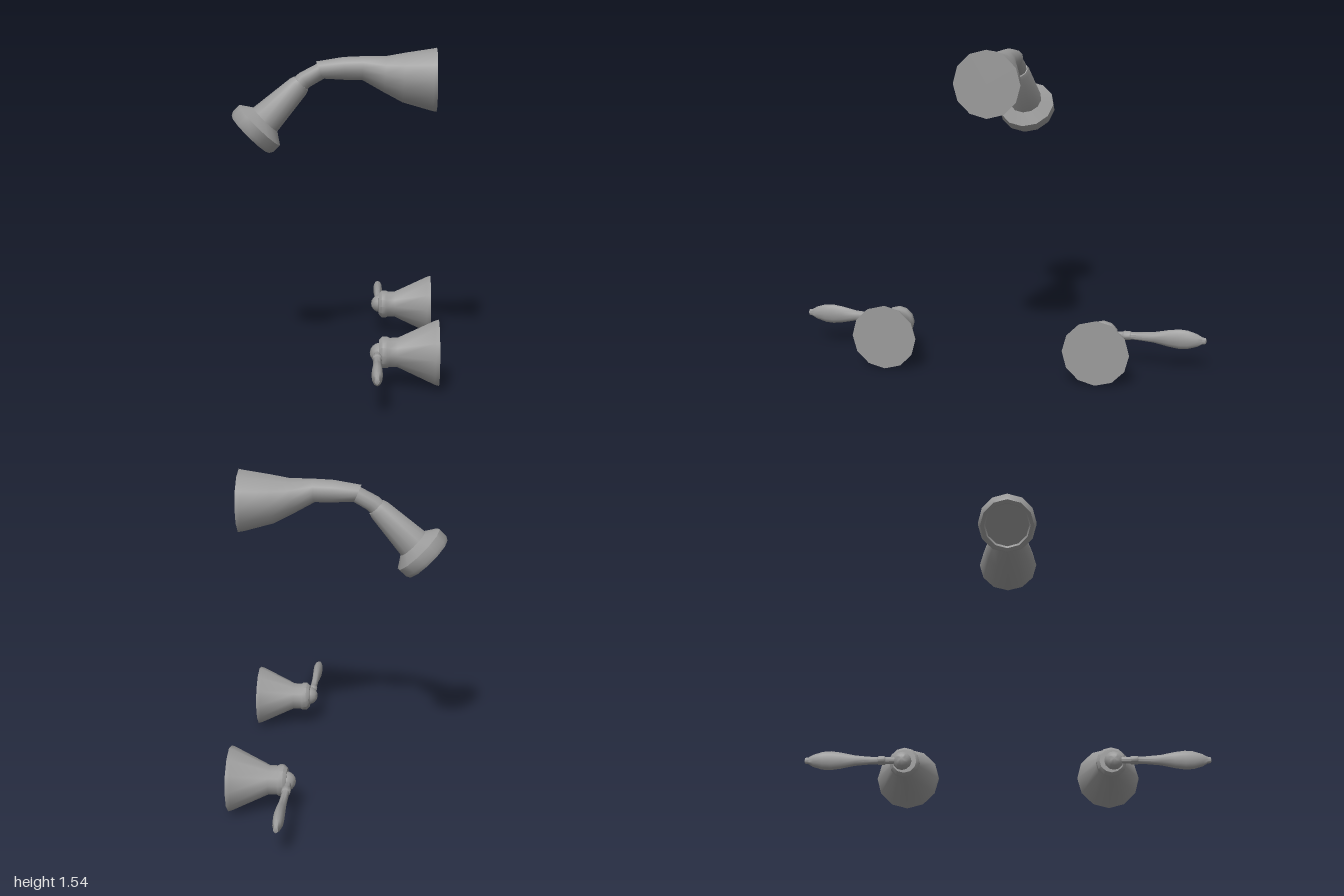
import * as THREE from 'three';
import { toCreasedNormals } from 'three/addons/utils/BufferGeometryUtils.js';

const SIDES = 12;
const CREASE = 0.75;
const material = new THREE.MeshStandardMaterial({ color: 0x9a9a9a });

function part(name, geometry) {
  const mesh = new THREE.Mesh(toCreasedNormals(geometry, CREASE), material);
  mesh.name = name;
  return mesh;
}

// Turned shape from [radius, height] pairs, listed from bottom to top
function turned(profile) {
  return new THREE.LatheGeometry(profile.map(([r, h]) => new THREE.Vector2(r, h)), SIDES);
}

// Capped tube through rings [x, y, radius, tilt in degrees] in the xy plane
function ringTube(rings) {
  const pos = [], index = [];
  const first = rings[0], last = rings[rings.length - 1];
  const all = [[first[0], first[1], 0, 0], ...rings, [last[0], last[1], 0, 0]];
  all.forEach(([x, y, r, tilt], i) => {
    const a = THREE.MathUtils.degToRad(tilt);
    for (let j = 0; j < SIDES; j++) {
      const t = (j / SIDES) * Math.PI * 2;
      const up = r * Math.cos(t);
      pos.push(x - up * Math.sin(a), y + up * Math.cos(a), r * Math.sin(t));
      if (i === all.length - 1) continue;
      const p = i * SIDES + j, q = i * SIDES + ((j + 1) % SIDES);
      index.push(p, q, p + SIDES, q, q + SIDES, p + SIDES);
    }
  });
  const geometry = new THREE.BufferGeometry();
  geometry.setAttribute('position', new THREE.Float32BufferAttribute(pos, 3));
  geometry.setIndex(index);
  geometry.computeVertexNormals();
  return geometry;
}

function createShower() {
  const shower = new THREE.Group();
  shower.name = 'shower';

  // Flared arm, widest at the wall
  shower.add(part('showerArm', ringTube([
    [-0.07, 1.436, 0.046, 24], [0.05, 1.444, 0.056, 6], [0.14, 1.446, 0.058, -4],
    [0.25, 1.416, 0.089, -4], [0.34, 1.4, 0.121, -3], [0.48, 1.389, 0.152, 0],
    [0.5, 1.389, 0.156, 0],
  ])));

  // Narrow joint between arm and head
  shower.add(part('neck', ringTube([
    [-0.19, 1.345, 0.043, 45], [-0.145, 1.388, 0.043, 40], [-0.05, 1.44, 0.04, 26],
  ])));

  // Conical head ending in a rimmed disc, aimed diagonally down
  const head = part('showerHead', turned([
    [0, 0], [0.048, 0], [0.055, 0.02], [0.083, 0.25], [0.141, 0.29],
    [0.141, 0.335], [0.13, 0.355], [0.112, 0.355], [0.106, 0.343], [0, 0.343],
  ]));
  head.position.set(-0.162, 1.371, 0);
  head.rotation.z = Math.PI * 0.75;
  shower.add(head);
  return shower;
}

function createTap(side) {
  const tap = new THREE.Group();
  tap.name = side > 0 ? 'frontTap' : 'backTap';
  tap.position.set(0.5, 0.157, side * 0.51);

  // Bell-shaped wall mount with soft collar
  const bell = part('tapBell', turned([
    [0, 0], [0.157, 0], [0.151, 0.02], [0.07, 0.19], [0.069, 0.228],
    [0.075, 0.238], [0.075, 0.26], [0.06, 0.276], [0, 0.278],
  ]));
  bell.rotation.z = Math.PI / 2;
  tap.add(bell);

  // Rounded hub holding the lever
  const hub = part('tapHub', new THREE.SphereGeometry(0.048, SIDES, 8));
  hub.rotation.z = Math.PI / 2;
  hub.position.set(-0.27, 0, side * 0.01);
  tap.add(hub);

  // Lever: collar and stem, swelling into a flattened grip
  const lever = turned([
    [0, 0.02], [0.016, 0.02], [0.017, 0.09], [0.022, 0.096], [0.022, 0.125], [0.018, 0.13],
    [0.019, 0.16], [0.027, 0.24], [0.042, 0.31], [0.049, 0.36], [0.046, 0.4],
    [0.032, 0.445], [0.018, 0.468], [0.015, 0.485], [0, 0.49],
  ]);
  const p = lever.attributes.position;
  for (let i = 0; i < p.count; i++) {
    const t = THREE.MathUtils.clamp((p.getY(i) - 0.15) / 0.4, 0, 1);
    p.setX(i, p.getX(i) * (1 - 0.5 * Math.sin(Math.PI * t)));
  }
  const handle = part('tapHandle', lever);
  handle.position.x = -0.283;
  handle.rotation.x = side * Math.PI / 2;
  tap.add(handle);
  return tap;
}

export function createModel() {
  const model = new THREE.Group();
  model.name = 'showerSet';
  model.add(createShower(), createTap(1), createTap(-1));
  return model;
}
